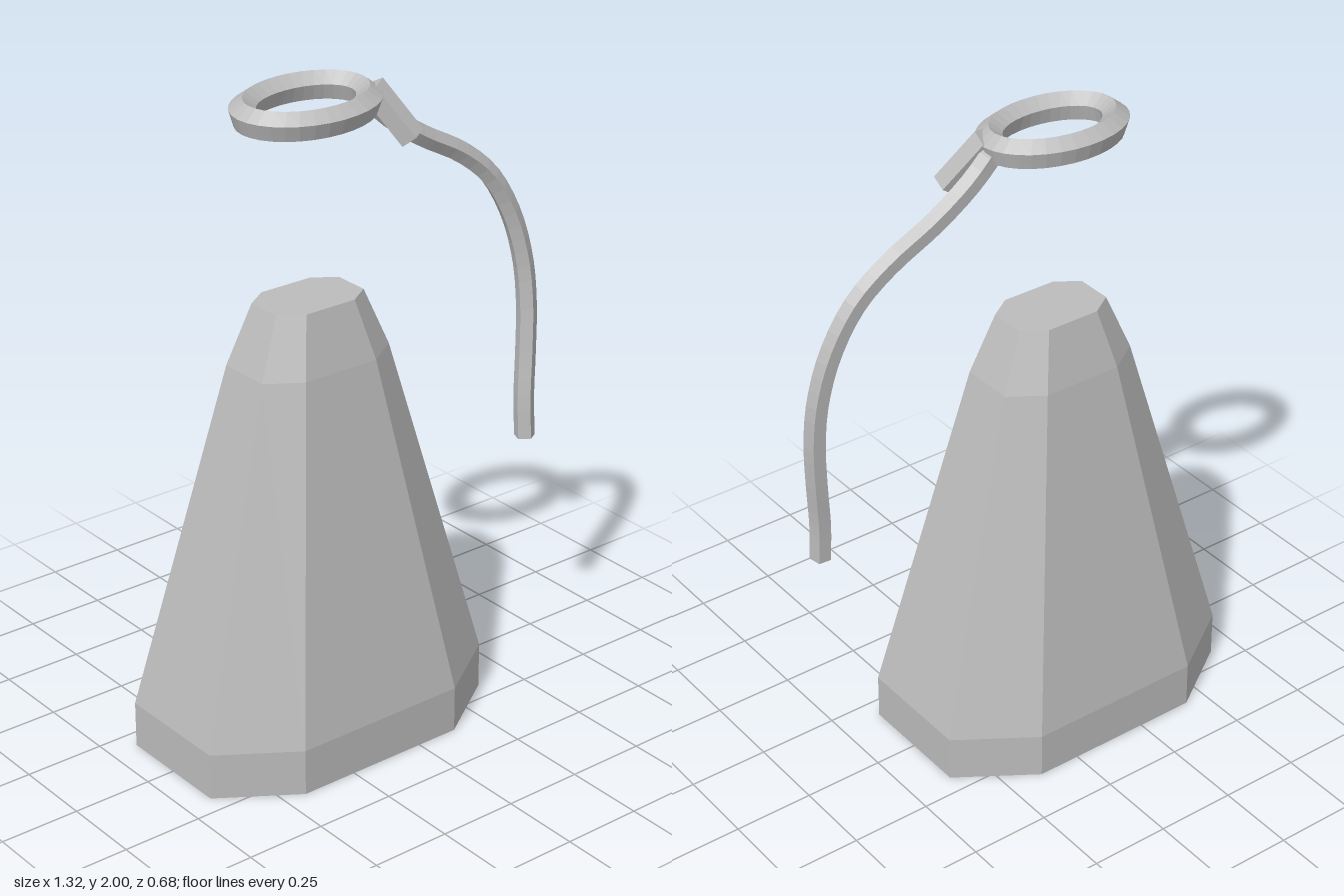
import * as THREE from 'three';

const v2 = (x, y) => new THREE.Vector2(x, y);
const v3 = (a) => new THREE.Vector3(...a);

export function createModel() {
  const group = new THREE.Group();
  const grey = new THREE.MeshStandardMaterial({ color: 0xbcbcbc, flatShading: true });
  grey.name = 'plain grey';

  const add = (name, geometry) => {
    const mesh = new THREE.Mesh(geometry, grey);
    mesh.name = name;
    group.add(mesh);
    return mesh;
  };

  // Body: stretched octagon, shrinking towards the top
  const corners = [
    [0.283, 0.34], [0.513, 0.187], [0.513, -0.187], [0.283, -0.34],
    [-0.283, -0.34], [-0.513, -0.187], [-0.513, 0.187], [-0.283, 0.34],
  ];
  const profile = [[0, 0], [1, 0], [1, 0.145], [0.448, 1.2], [0.306, 1.38], [0, 1.38]];
  const bodyGeo = new THREE.LatheGeometry(profile.map((p) => v2(...p)), 8);
  const bodyPos = bodyGeo.attributes.position;
  for (let i = 0; i < bodyPos.count; i++) {
    const [x, z] = corners[Math.floor(i / profile.length) % 8];
    const [scale, y] = profile[i % profile.length];
    bodyPos.setXYZ(i, x * scale, y, z * scale);
  }
  add('body', bodyGeo).position.x = -0.147;

  // Ring: five-sided section with its ridge on top, swept round an ellipse
  const section = [
    [0.024, -0.04], [0.039, 0.008], [0, 0.038], [-0.039, 0.008], [-0.024, -0.04], [0.024, -0.04],
  ];
  const ringGeo = new THREE.LatheGeometry(section.map(([r, y]) => v2(1 + r, y)), 32);
  const ringPos = ringGeo.attributes.position;
  for (let i = 0; i < ringPos.count; i++) {
    const angle = (Math.floor(i / section.length) / 32) * Math.PI * 2;
    const [r, y] = section[i % section.length];
    ringPos.setXYZ(i, Math.sin(angle) * (0.198 + r), y, Math.cos(angle) * (0.133 + r));
  }
  const ring = add('topRing', ringGeo);
  ring.position.set(-0.148, 1.955, 0);
  ring.rotation.set(0.05, 0, 0.015);

  // Hanging cord: five-sided tube with closed ends
  const path = new THREE.CatmullRomCurve3([
    [0.04, 1.965, 0], [0.08, 1.91, 0.008], [0.14, 1.855, 0.01], [0.25, 1.78, 0.013],
    [0.4, 1.695, 0.022], [0.5, 1.605, 0.035], [0.575, 1.47, 0.05], [0.615, 1.32, 0.064],
    [0.625, 1.18, 0.075], [0.618, 1.03, 0.085], [0.605, 0.88, 0.097], [0.605, 0.755, 0.105],
  ].map(v3));
  const steps = 32, sides = 5;
  const cordGeo = new THREE.TubeGeometry(path, steps, 0.033, sides);
  const index = Array.from(cordGeo.index.array);
  const last = steps * (sides + 1);
  for (let i = 1; i < sides - 1; i++) {
    index.push(0, i, i + 1, last, last + i + 1, last + i);
  }
  cordGeo.setIndex(index);
  add('hangingCord', cordGeo);

  // Short stub beside the cord
  const start = v3([0.055, 1.968, 0.032]);
  const end = v3([0.138, 1.822, 0.11]);
  const axis = end.clone().sub(start);
  const stub = add('shortStub', new THREE.CylinderGeometry(0.042, 0.042, axis.length(), 5));
  stub.position.copy(start).add(end).multiplyScalar(0.5);
  stub.quaternion.setFromUnitVectors(new THREE.Vector3(0, 1, 0), axis.normalize());

  return group;
}
